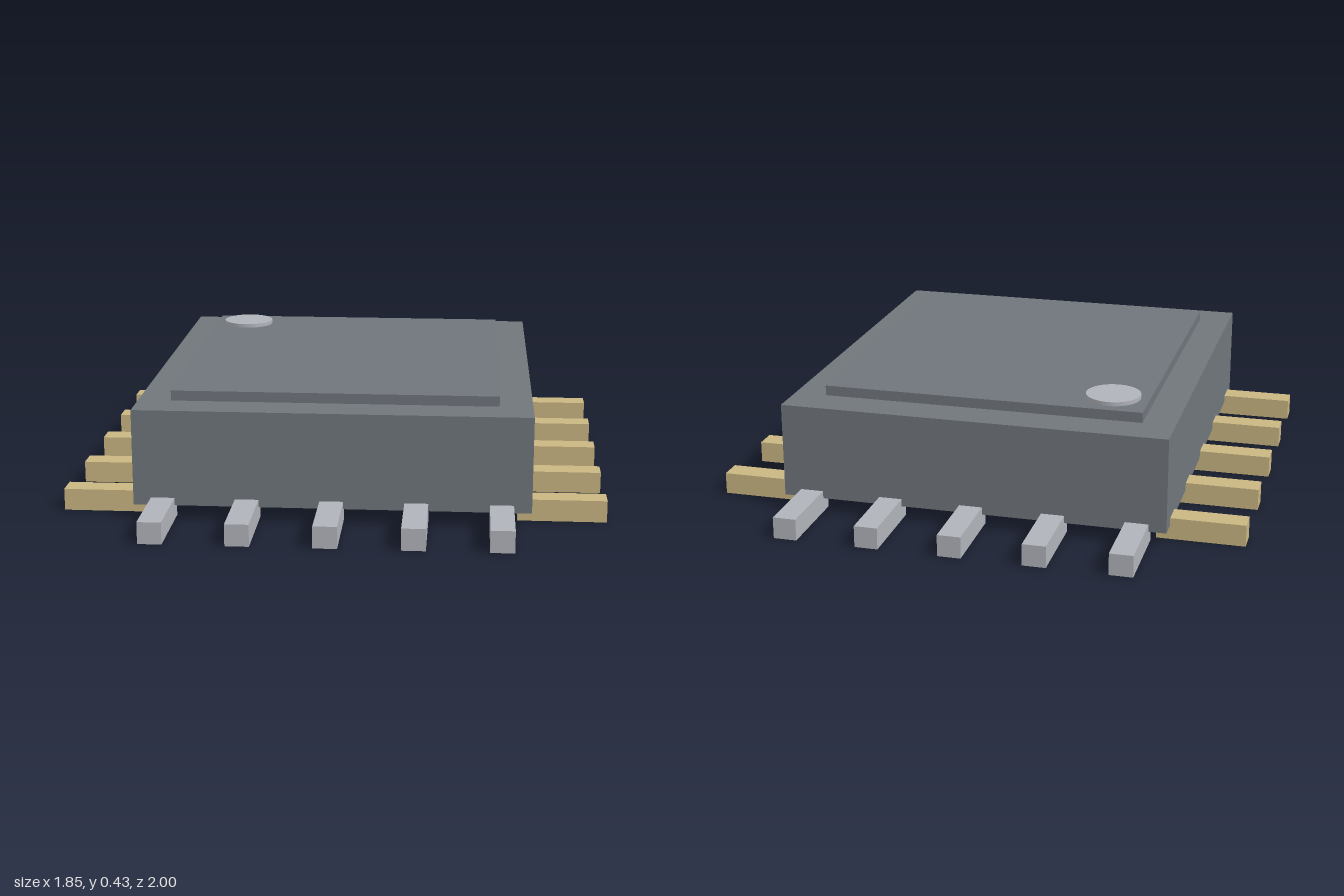
import * as THREE from 'three';

const material = (name, color) => {
  const m = new THREE.MeshStandardMaterial({ color });
  m.name = name;
  return m;
};

export function createModel() {
  const model = new THREE.Group();
  model.name = 'chipPackage';

  const bodyGrey = material('body grey', 0x70767b);
  const lidGrey = material('lid grey', 0x70747c);
  const silver = material('silver', 0xb0b3ba);
  const gold = material('gold', 0xc9b682);

  const add = (name, geometry, mat, x, y, z) => {
    const mesh = new THREE.Mesh(geometry, mat);
    mesh.name = name;
    mesh.position.set(x, y, z);
    model.add(mesh);
    return mesh;
  };

  // Body block and raised lid
  add('body', new THREE.BoxGeometry(1.34, 0.33, 1.49), bodyGrey, 0, 0.214, 0);
  add('lid', new THREE.BoxGeometry(1.114, 0.036, 1.224), lidGrey, 0, 0.396, 0);

  // Round orientation marker at the back right corner
  add('marker', new THREE.CylinderGeometry(0.094, 0.094, 0.015, 32), silver, -0.432, 0.4205, -0.48);

  // Five pins on every side: gold left and right, silver front and back
  const sidePin = new THREE.BoxGeometry(0.3, 0.075, 0.08);
  const endPin = new THREE.BoxGeometry(0.08, 0.075, 0.3);
  for (const s of [-1, 1]) {
    for (let i = -2; i <= 2; i++) {
      add('sidePin', sidePin, gold, s * 0.774, 0.0375, i * 0.3175);
      add('endPin', endPin, silver, i * 0.285, 0.0375, s * 0.85);
    }
  }

  return model;
}
